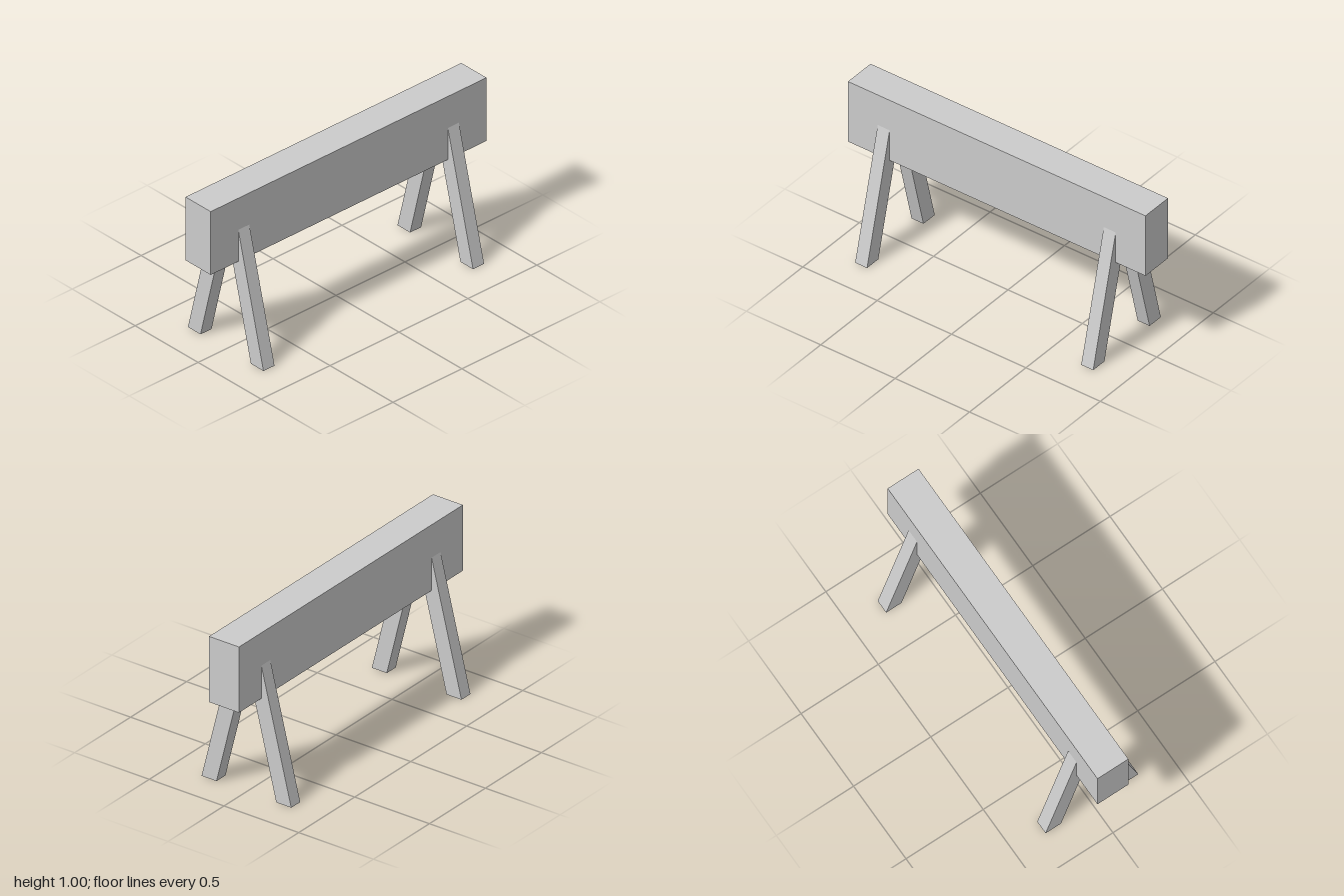
import * as THREE from 'three';

const BEAM = { length: 2, height: 0.4, depth: 0.2, bottom: 0.6 };
const LEG = { width: 0.08, height: 0.8, depth: 0.1, x: 0.76, footZ: 0.25, topZ: 0.05 };

// Box leaned along z, so that its foot stays flat on the ground
function leaningLeg() {
  const geometry = new THREE.BoxGeometry(LEG.width, LEG.height, LEG.depth);
  const lean = (LEG.topZ - LEG.footZ) / LEG.height;
  const shear = new THREE.Matrix4().set(
    1, 0, 0, 0,
    0, 1, 0, 0,
    0, lean, 1, 0,
    0, 0, 0, 1
  );
  geometry.applyMatrix4(shear);
  geometry.translate(0, LEG.height / 2, (LEG.footZ + LEG.topZ) / 2);
  return geometry;
}

export function createModel() {
  const model = new THREE.Group();
  model.name = 'sawhorse';
  const material = new THREE.MeshStandardMaterial({ color: 0xcccccc, flatShading: true });

  // Top beam
  const beam = new THREE.Mesh(new THREE.BoxGeometry(BEAM.length, BEAM.height, BEAM.depth), material);
  beam.name = 'beam';
  beam.position.y = BEAM.bottom + BEAM.height / 2;
  model.add(beam);

  // Four splayed legs; the back pair is turned half round
  const legGeometry = leaningLeg();
  for (const side of [1, -1]) {
    for (const end of ['front', 'back']) {
      const leg = new THREE.Mesh(legGeometry, material);
      leg.name = end + (side > 0 ? 'Left' : 'Right') + 'Leg';
      leg.position.x = side * LEG.x;
      if (end === 'back') leg.rotation.y = Math.PI;
      model.add(leg);
    }
  }
  return model;
}
